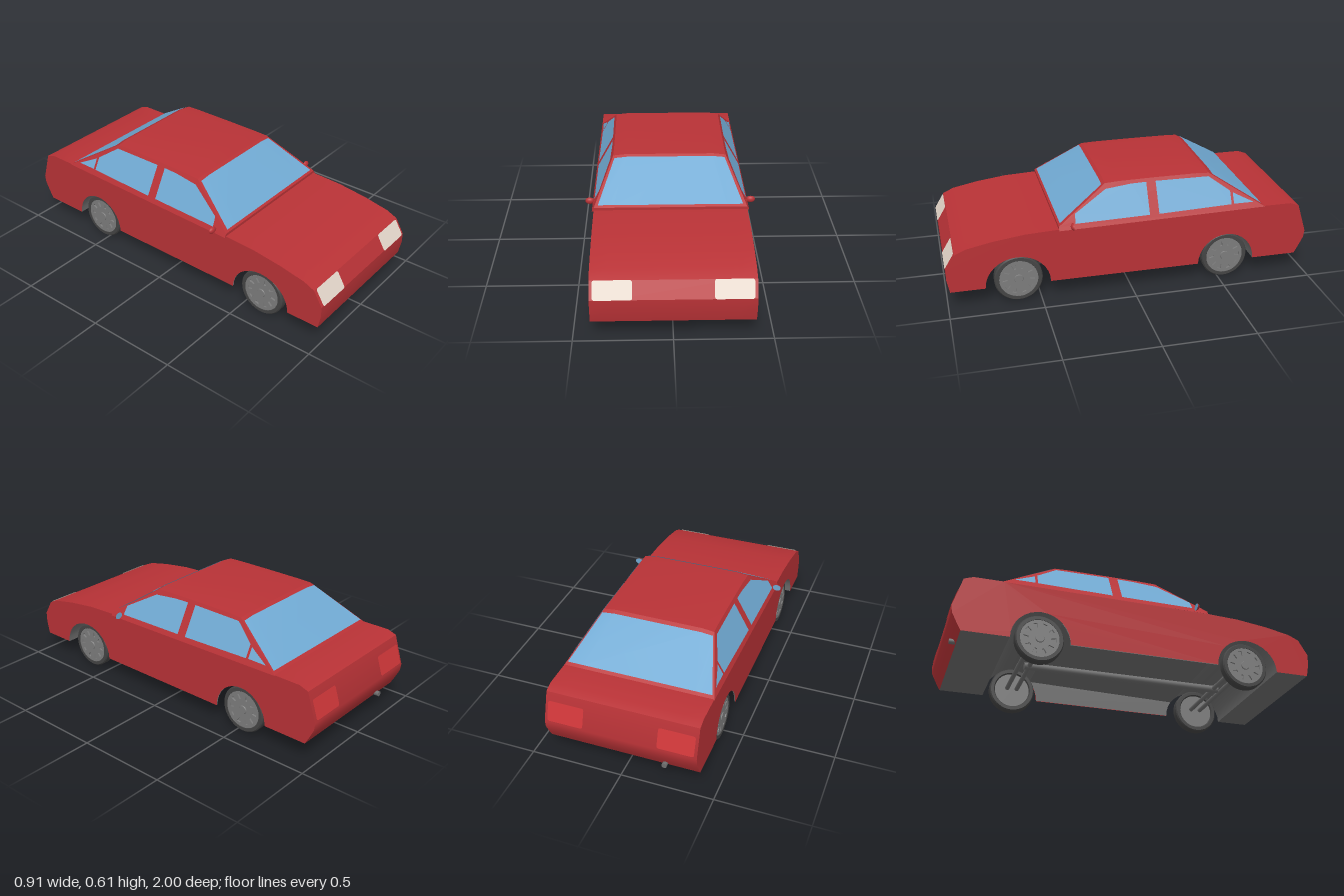
import * as THREE from 'three';
import { toCreasedNormals } from 'three/addons/utils/BufferGeometryUtils.js';

const mat = (name, color, side = THREE.FrontSide) => {
  const m = new THREE.MeshStandardMaterial({ color, side });
  m.name = name;
  return m;
};

export function createModel() {
  const car = new THREE.Group();
  car.name = 'car';
  const paint = mat('red paint', 0xb83236, THREE.DoubleSide);
  const glass = mat('blue glass', 0x70a9d2, THREE.DoubleSide);
  const cream = mat('headlight cream', 0xe6d8cc, THREE.DoubleSide);
  const lampRed = mat('tail light red', 0xcf3639, THREE.DoubleSide);
  const rubber = mat('tyre rubber', 0x444444);
  const grey = mat('underbody grey', 0x6e6e6e, THREE.DoubleSide);
  const metal = mat('wheel metal', 0x7c7c7c);

  const add = (name, geometry, material, parent = car) => {
    const m = new THREE.Mesh(geometry, material);
    m.name = name;
    parent.add(m);
    return m;
  };

  // Surface across the car through stations [z, y, halfWidth, crown]
  const strip = (stations, columns = [-1, -0.78, 0.78, 1]) => {
    const pos = [], index = [], n = columns.length;
    stations.forEach(([z, y, w = 0.41, crown = 0], i) => {
      columns.forEach((c, j) => {
        pos.push(c * w, y + (Math.abs(c) < 1 ? crown : 0), z);
        if (i && j) {
          const d = i * n + j - 1, a = d - n;
          index.push(a, a + 1, d + 1, a, d + 1, d);
        }
      });
    });
    const g = new THREE.BufferGeometry();
    g.setAttribute('position', new THREE.Float32BufferAttribute(pos, 3));
    g.setIndex(index);
    return toCreasedNormals(g, 0.45);
  };

  // Flat side panel from [z, y] points; halfWidth(y) leans it inwards
  const sidePanel = (points, side, halfWidth) => {
    const g = new THREE.ShapeGeometry(new THREE.Shape(points.map(([z, y]) => new THREE.Vector2(-side * z, y))));
    const p = g.attributes.position;
    for (let i = 0; i < p.count; i++) {
      const sx = p.getX(i), y = p.getY(i);
      p.setXYZ(i, side * halfWidth(y), y, -side * sx);
    }
    g.computeVertexNormals();
    return g;
  };

  // Lower body outlines, running front to rear over the top, then back below
  const top = [[0.985, 0.105], [1, 0.18], [1, 0.237], [0.95, 0.32], [0.89, 0.347], [0.75, 0.375],
    [0.58, 0.397], [0.4, 0.405], [-0.74, 0.418], [-0.9, 0.418], [-0.95, 0.4], [-1, 0.24],
    [-0.995, 0.2], [-0.965, 0.14], [-0.945, 0.105]];
  const arch = (c, r) => Array.from({ length: 17 }, (_, k) =>
    [c - r * Math.cos(Math.PI * k / 16), 0.105 + 0.165 * Math.sin(Math.PI * k / 16)]);
  const rearArch = arch(-0.535, 0.16), frontArch = arch(0.625, 0.175);
  add('bodyShell', strip(top), paint);
  // Raised floor between the arches, open below
  const r = 13, f = 3;
  add('underbody', strip([top.at(-1), ...rearArch.slice(0, r), ...frontArch.slice(f), top[0]]), grey);

  // Cabin
  const lean = (y) => 0.41 - (y - 0.418) * 0.555;
  const cabin = [[0.4, 0.4], [0.4, 0.42], [0.13, 0.6], [0.05, 0.604], [-0.15, 0.606],
    [-0.38, 0.606], [-0.45, 0.603], [-0.75, 0.415]];
  add('cabinRoofAndPillars', strip(cabin.map(([z, y]) => [z, y, lean(y), y > 0.5 ? 0.008 : 0])), paint);
  const screen = (z0, y0, w0, z1, y1, w1) => [[z0, y0, w0, 0], [z1, y1, w1, 0.007]];
  add('windscreen', strip(screen(0.391, 0.431, 0.387, 0.148, 0.593, 0.302)), glass);
  add('rearWindow', strip(screen(-0.472, 0.594, 0.308, -0.732, 0.431, 0.396).map((s, i) =>
    [s[0], s[1], s[2], i ? 0 : 0.007])), glass);

  const windows = {
    frontWindow: [[0.312, 0.428], [0.307, 0.475], [0.13, 0.575], [-0.01, 0.588], [-0.095, 0.59], [-0.095, 0.434]],
    rearDoorWindow: [[-0.147, 0.434], [-0.147, 0.59], [-0.445, 0.588], [-0.558, 0.51], [-0.558, 0.444]],
    quarterWindow: [[-0.572, 0.445], [-0.572, 0.5], [-0.685, 0.445]],
  };

  for (const s of [1, -1]) {
    const label = s > 0 ? 'left' : 'right';
    add(label + 'BodySide', sidePanel([...top, ...rearArch, ...frontArch], s, () => 0.41), paint);
    add(label + 'InnerSill', sidePanel([...rearArch.slice(r - 1), ...frontArch.slice(0, f + 1)], s, () => 0.404), grey);
    add(label + 'CabinSide', sidePanel(cabin, s, lean), paint);
    for (const [name, pts] of Object.entries(windows)) {
      add(label + name, sidePanel(pts, s, (y) => lean(y) + 0.004), glass);
    }

    // Door mirror: domed housing with glass facing the rear
    const mirror = new THREE.Group();
    mirror.name = label + 'Mirror';
    mirror.position.set(s * 0.433, 0.425, 0.325);
    const dome = new THREE.SphereGeometry(1, 20, 8, 0, Math.PI * 2, 0, Math.PI / 2).rotateX(Math.PI / 2);
    add('mirrorHousing', dome.scale(0.024, 0.019, 0.016), paint, mirror);
    add('mirrorGlass', new THREE.CircleGeometry(1, 20).rotateY(Math.PI).scale(0.024, 0.019, 1), glass, mirror);
    add('mirrorStalk', new THREE.BoxGeometry(0.03, 0.01, 0.008), paint, mirror).position.set(-s * 0.018, -0.004, 0.005);
    car.add(mirror);
  }

  // Lamps: rounded plates lying on the sloping nose and tail
  const lamp = (name, material, x, y, z, h, tilt, turn) => {
    const w = 0.195, c = 0.012, a = w / 2, b = h / 2;
    const shape = new THREE.Shape();
    shape.absarc(a - c, b - c, c, 0, Math.PI / 2);
    shape.absarc(c - a, b - c, c, Math.PI / 2, Math.PI);
    shape.absarc(c - a, c - b, c, Math.PI, Math.PI * 1.5);
    shape.absarc(a - c, c - b, c, Math.PI * 1.5, Math.PI * 2);
    const g = new THREE.ShapeGeometry(shape, 6).translate(0, 0, 0.004).rotateX(-tilt).rotateY(turn);
    add(name, g, material).position.set(x, y, z);
  };
  for (const s of [1, -1]) {
    const label = s > 0 ? 'left' : 'right';
    lamp(label + 'Headlight', cream, s * 0.2975, 0.2785, 0.975, 0.098, Math.atan2(0.05, 0.083), 0);
    lamp(label + 'TailLight', lampRed, s * 0.2975, 0.302, -0.9806, 0.11, Math.atan2(0.05, 0.16), Math.PI);
  }

  // Wheels: tyre, pierced rim face and solid drum behind it
  const tyre = toCreasedNormals(new THREE.LatheGeometry([[0.1, -0.02], [0.106, -0.0275], [0.124, -0.0275],
    [0.13, -0.02], [0.13, 0.02], [0.124, 0.0275], [0.106, 0.0275], [0.1, 0.02]]
    .map(([x, y]) => new THREE.Vector2(x, y)), 40).rotateZ(-Math.PI / 2), 0.6);
  const face = new THREE.Shape().absarc(0, 0, 0.105, 0, Math.PI * 2);
  for (let k = 0; k < 10; k++) {
    const a = k * Math.PI / 5, d = 0.13;
    const hole = new THREE.Path();
    hole.moveTo(0.06 * Math.cos(a - d * 0.7), 0.06 * Math.sin(a - d * 0.7));
    hole.lineTo(0.088 * Math.cos(a - d), 0.088 * Math.sin(a - d));
    hole.lineTo(0.088 * Math.cos(a + d), 0.088 * Math.sin(a + d));
    hole.lineTo(0.06 * Math.cos(a + d * 0.7), 0.06 * Math.sin(a + d * 0.7));
    face.holes.push(hole);
  }
  const rim = new THREE.ExtrudeGeometry(face, { depth: 0.01, bevelEnabled: false, curveSegments: 32 });
  const drum = new THREE.CylinderGeometry(0.102, 0.102, 0.036, 32).rotateZ(Math.PI / 2);
  const cap = new THREE.CylinderGeometry(0.022, 0.026, 0.008, 20).rotateX(Math.PI / 2);
  for (const z of [0.62, -0.535]) {
    const end = z > 0 ? 'front' : 'rear';
    for (const s of [1, -1]) {
      const wheel = new THREE.Group();
      wheel.name = end + (s > 0 ? 'Left' : 'Right') + 'Wheel';
      wheel.position.set(s * 0.3625, 0.13, z);
      wheel.rotation.y = s > 0 ? 0 : Math.PI;
      add('tyre', tyre, rubber, wheel);
      add('drum', drum, metal, wheel).position.x = -0.002;
      const rimMesh = add('rim', rim, metal, wheel);
      rimMesh.rotation.y = Math.PI / 2;
      rimMesh.position.x = 0.016;
      const capMesh = add('hubCap', cap, metal, wheel);
      capMesh.rotation.y = Math.PI / 2;
      capMesh.position.x = 0.027;
      car.add(wheel);
    }
    // Paired axle rods
    for (const dz of [-0.028, 0.028]) {
      add(end + 'Axle', new THREE.CylinderGeometry(0.013, 0.013, 0.7, 14).rotateZ(Math.PI / 2), grey)
        .position.set(0, 0.14, z + dz);
    }
  }

  // Drive shaft and exhaust tip
  add('driveShaft', new THREE.CylinderGeometry(0.02, 0.02, 1.155, 16).rotateX(Math.PI / 2), grey)
    .position.set(0, 0.14, 0.0425);
  add('exhaustTip', new THREE.CylinderGeometry(0.014, 0.014, 0.08, 16).rotateX(Math.PI / 2), grey)
    .position.set(-0.23, 0.122, -0.94);
  return car;
}
